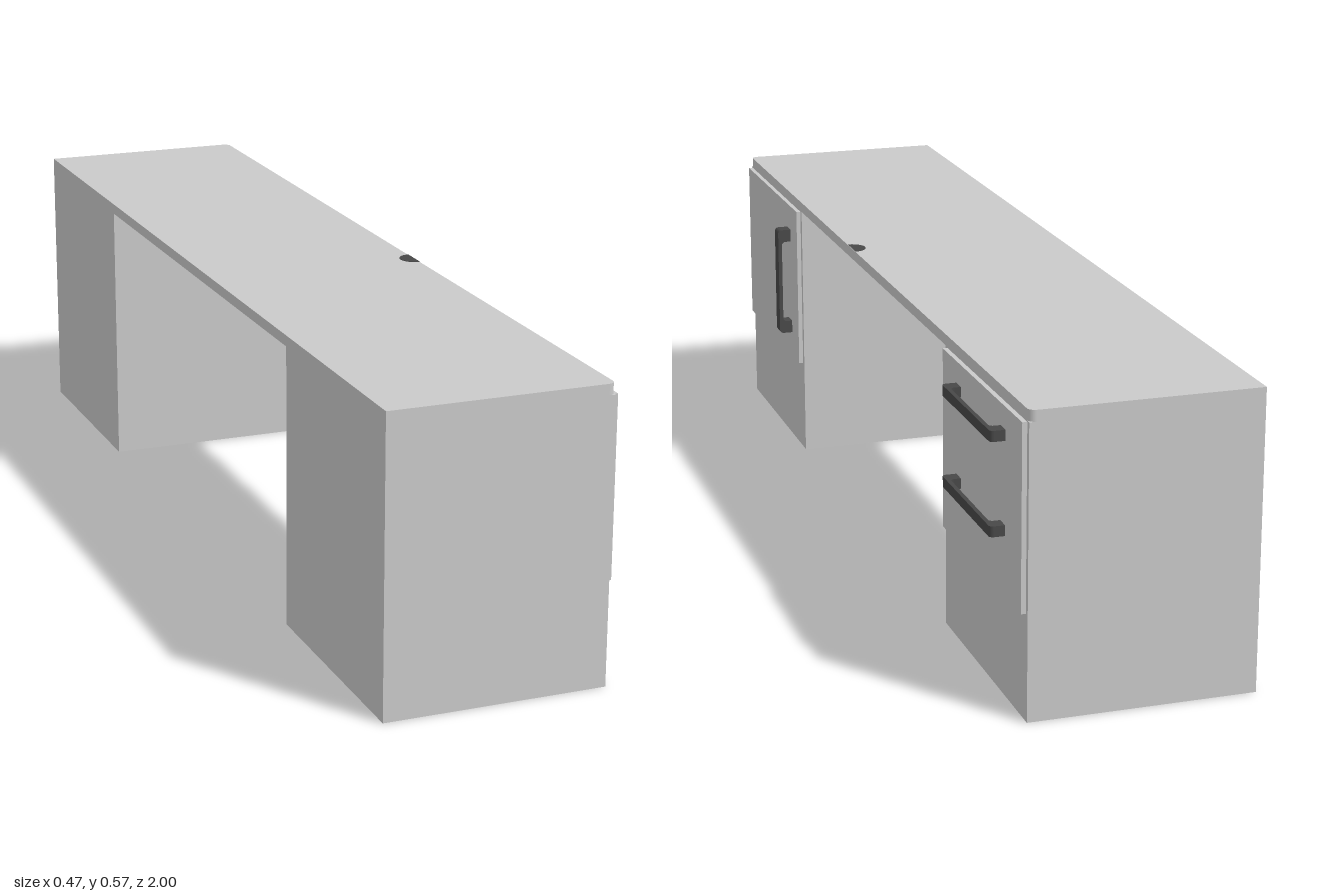
import * as THREE from 'three';

const panelGrey = new THREE.MeshStandardMaterial({ color: 0xcacaca });
panelGrey.name = 'panelGrey';
const handleGrey = new THREE.MeshStandardMaterial({ color: 0x484848 });
handleGrey.name = 'handleGrey';

const BACK = -0.234, FRONT = 0.197, PANEL = 0.206, GRIP = 0.234;
const TOP = 0.57, UNDER = 0.549, LENGTH = 2;

function addMesh(parent, name, geometry, material) {
  const mesh = new THREE.Mesh(geometry, material);
  mesh.name = name;
  parent.add(mesh);
  return mesh;
}

// Box given by its lower and upper corners
function boxBetween(x0, x1, y0, y1, z0, z1) {
  return new THREE.BoxGeometry(x1 - x0, y1 - y0, z1 - z0)
    .translate((x0 + x1) / 2, (y0 + y1) / 2, (z0 + z1) / 2);
}

// Worktop with both front corners rounded
function worktopGeometry() {
  const r = 0.014, h = LENGTH / 2;
  const s = new THREE.Shape();
  s.moveTo(BACK, -h);
  s.lineTo(FRONT - r, -h);
  s.absarc(FRONT - r, -h + r, r, -Math.PI / 2, 0, false);
  s.lineTo(FRONT, h - r);
  s.absarc(FRONT - r, h - r, r, 0, Math.PI / 2, false);
  s.lineTo(BACK, h);
  s.closePath();
  return new THREE.ExtrudeGeometry(s, { depth: TOP - UNDER, bevelEnabled: false, curveSegments: 8 })
    .rotateX(-Math.PI / 2).translate(0, UNDER, 0);
}

// Bow handle: outline in x (outwards) and y (along), extruded to its width
function handleGeometry(length, width) {
  const h = length / 2, d = GRIP - PANEL, foot = 0.027, bar = 0.008, r = 0.008;
  const inner = h - foot, gap = d - bar;
  const s = new THREE.Shape();
  s.moveTo(0, -h);
  s.lineTo(d - r, -h);
  s.absarc(d - r, -h + r, r, -Math.PI / 2, 0, false);
  s.lineTo(d, h - r);
  s.absarc(d - r, h - r, r, 0, Math.PI / 2, false);
  s.lineTo(0, h);
  s.lineTo(0, inner);
  s.lineTo(gap - r, inner);
  s.absarc(gap - r, inner - r, r, Math.PI / 2, 0, true);
  s.lineTo(gap, -inner + r);
  s.absarc(gap - r, -inner + r, r, 0, -Math.PI / 2, true);
  s.lineTo(0, -inner);
  s.closePath();
  return new THREE.ExtrudeGeometry(s, { depth: width, bevelEnabled: false, curveSegments: 6 })
    .translate(0, 0, -width / 2);
}

export function createModel() {
  const desk = new THREE.Group();
  desk.name = 'desk';

  addMesh(desk, 'worktop', worktopGeometry(), panelGrey);

  // Cable cut-out mark at the front edge of the worktop
  const mark = new THREE.CylinderGeometry(0.029, 0.029, 0.001, 20, 1, false, Math.PI, Math.PI)
    .translate(FRONT, TOP + 0.0005, 0.118);
  addMesh(desk, 'edgeMark', mark, handleGrey);

  // Two pedestals, each with a raised front panel
  for (const [side, name] of [[1, 'cupboard'], [-1, 'drawerUnit']]) {
    const unit = new THREE.Group();
    unit.name = name;
    desk.add(unit);
    const span = (a, b) => (side > 0 ? [a, b] : [-b, -a]);
    addMesh(unit, name + 'Body', boxBetween(BACK, FRONT, 0, UNDER, ...span(0.53, 1)), panelGrey);
    addMesh(unit, name + 'Front', boxBetween(FRONT, PANEL, 0.2, 0.547, ...span(0.541, 0.99)), panelGrey);
  }

  // Upright handle on the cupboard door
  const doorHandle = addMesh(desk, 'doorHandle', handleGeometry(0.237, 0.03), handleGrey);
  doorHandle.position.set(PANEL, 0.3745, 0.614);

  // Level handles on the drawers
  for (const y of [0.496, 0.322]) {
    const handle = addMesh(desk, 'drawerHandle', handleGeometry(0.28, 0.02), handleGrey);
    handle.rotation.x = -Math.PI / 2;
    handle.position.set(PANEL, y, -0.763);
  }

  return desk;
}
